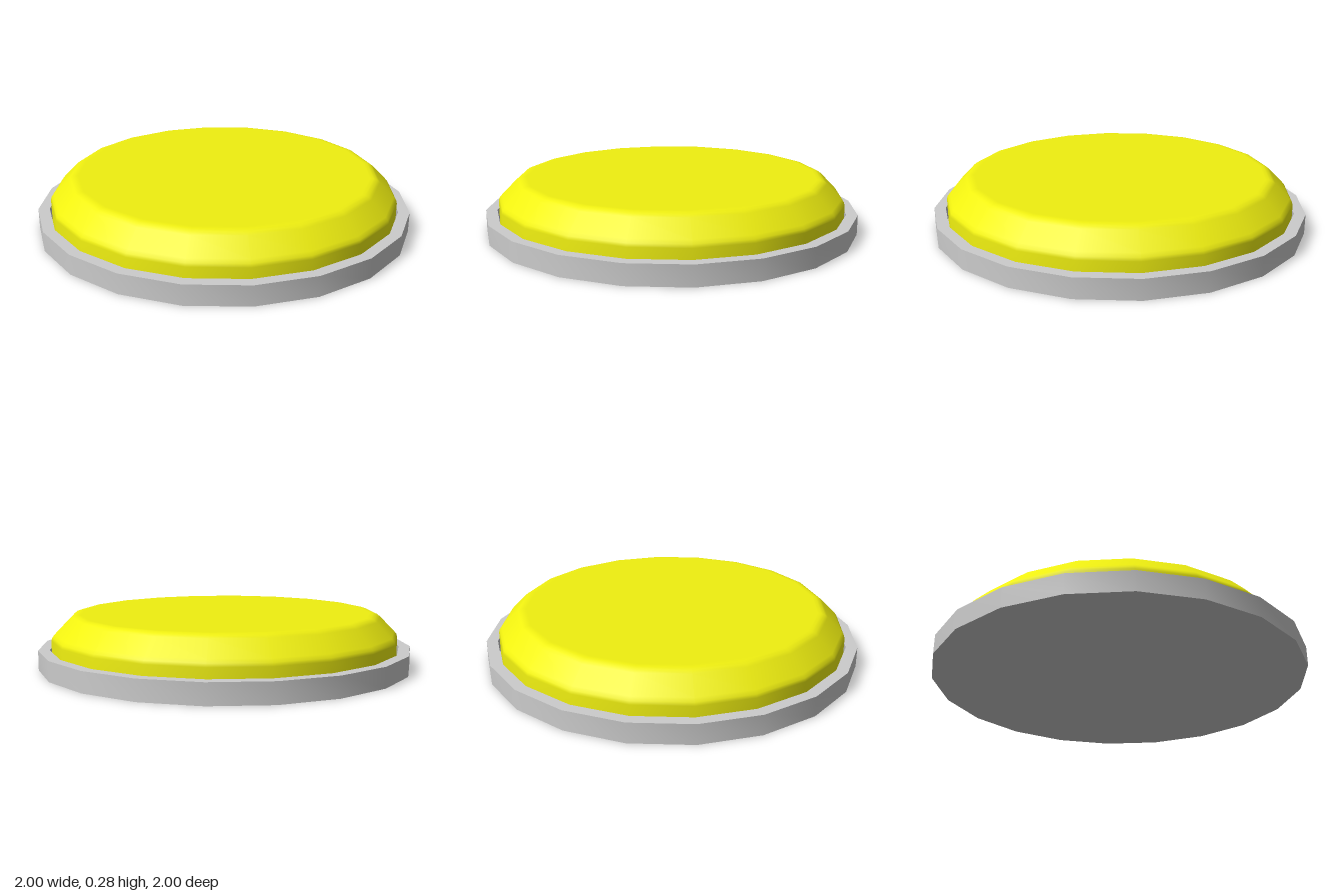
import * as THREE from 'three';
import { toCreasedNormals } from 'three/addons/utils/BufferGeometryUtils.js';

const SIDES = 20;

// Revolve a list of [radius, height] points around the y axis
function turned(name, profile, color, crease) {
  const points = profile.map(([r, y]) => new THREE.Vector2(r, y));
  let geometry = new THREE.LatheGeometry(points, SIDES);
  if (crease) geometry = toCreasedNormals(geometry, crease);
  const mesh = new THREE.Mesh(geometry, new THREE.MeshStandardMaterial({ color }));
  mesh.name = name;
  return mesh;
}

export function createModel() {
  const model = new THREE.Group();
  model.name = 'pushButton';

  // Shallow dish: solid floor with a raised rim around the button
  model.add(turned('baseRing', [
    [0, 0], [1, 0], [1, 0.105], [0.94, 0.105], [0.94, 0.03], [0, 0.03],
  ], 0xcccccc, 0.6));

  // Domed cap: upright wall, softened bevel and flat top
  model.add(turned('buttonCap', [
    [0.93, 0.03], [0.93, 0.155], [0.925, 0.172], [0.912, 0.188],
    [0.835, 0.266], [0.82, 0.278], [0.8, 0.285], [0.78, 0.285], [0, 0.285],
  ], 0xf0f010));

  return model;
}
